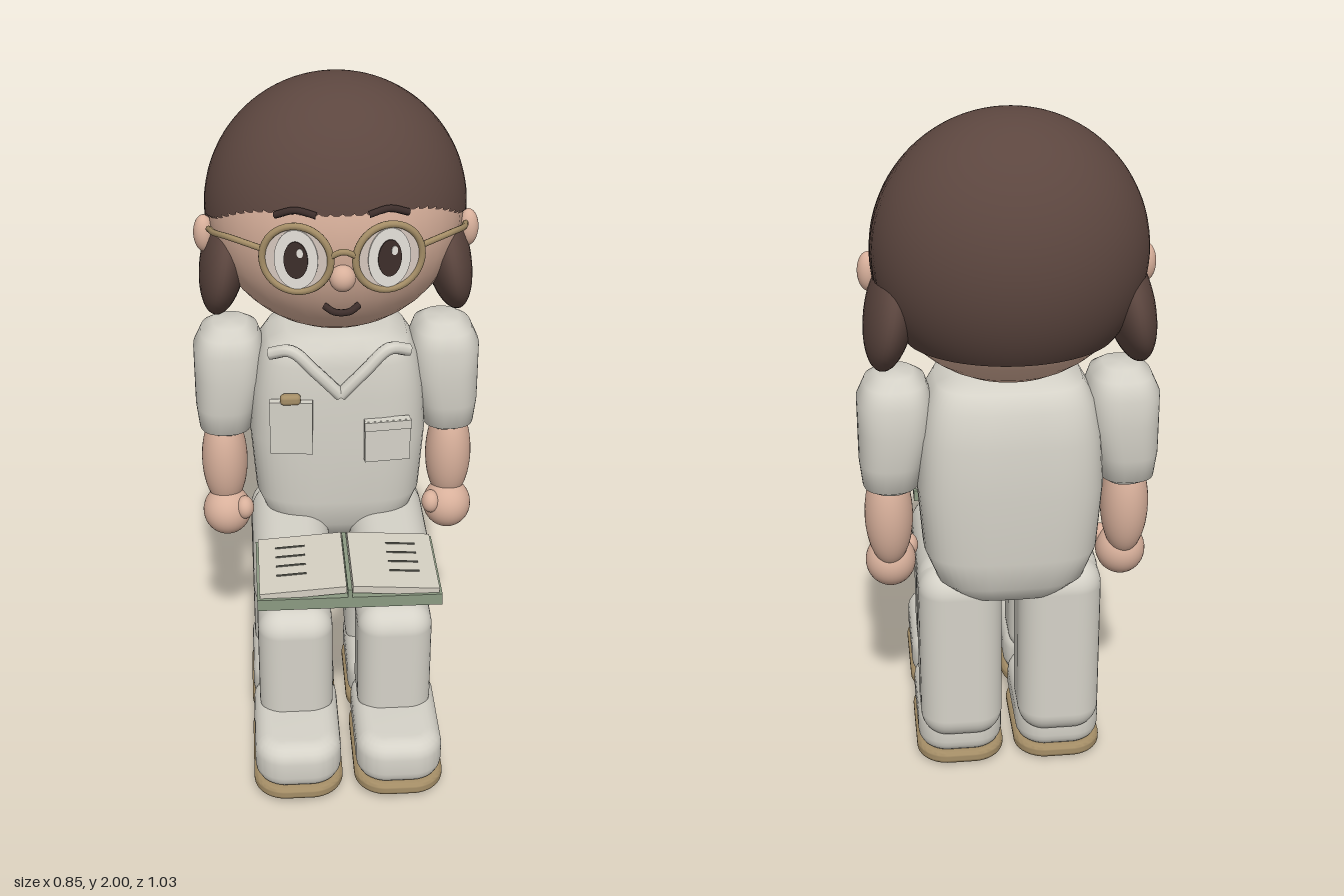
import * as THREE from 'three';
import { toCreasedNormals } from 'three/addons/utils/BufferGeometryUtils.js';
import { RoundedBoxGeometry } from 'three/addons/geometries/RoundedBoxGeometry.js';

const mat = (name, color) => {
  const m = new THREE.MeshStandardMaterial({ color });
  m.name = name;
  return m;
};

export function createModel() {
  const cloth = mat('offWhiteCloth', 0xd5d2c8);
  const skin = mat('skin', 0xd8b09b);
  const hairMat = mat('brownHair', 0x5c463f);
  const tan = mat('tan', 0xa48d66);
  const green = mat('bookGreen', 0x8b9a82);
  const page = mat('page', 0xd6d1c3);
  const lensMat = mat('lens', 0xd6c8be);
  const white = mat('eyeWhite', 0xe9e5de);
  const dark = mat('darkBrown', 0x3d2e2b);
  const ink = mat('ink', 0x77776c);
  const root = new THREE.Group();

  const add = (name, geo, material, x = 0, y = 0, z = 0, parent = root) => {
    const m = new THREE.Mesh(geo, material);
    m.name = name;
    m.position.set(x, y, z);
    parent.add(m);
    return m;
  };
  const ball = (rx, ry, rz) => new THREE.SphereGeometry(1, 36, 24).scale(rx, ry, rz);
  const box = (w, h, d) => new THREE.BoxGeometry(w, h, d);
  const puffy = (w, h, d, r) => new RoundedBoxGeometry(w, h, d, 5, r);
  const tube = (pts, r) => new THREE.TubeGeometry(
    new THREE.CatmullRomCurve3(pts.map(p => new THREE.Vector3(...p))), 24, r, 8);

  // Squarish cross-sections [y, halfWidth, zFront, zBack, xCentre] stacked upwards
  const loft = (sections, power = 3.5, n = 48) => {
    const pos = [], idx = [];
    const bend = v => Math.sign(v) * Math.abs(v) ** (2 / power);
    for (const [y, w, f, b, cx = 0] of sections)
      for (let j = 0; j < n; j++) {
        const t = j / n * Math.PI * 2;
        pos.push(cx + w * bend(Math.cos(t)), y, (f + b) / 2 + (f - b) / 2 * bend(Math.sin(t)));
      }
    const last = sections.length - 1, bottom = pos.length / 3, top = bottom + 1;
    for (const [y, , f, b, cx = 0] of [sections[0], sections[last]]) pos.push(cx, y, (f + b) / 2);
    for (let j = 0; j < n; j++) {
      const k = (j + 1) % n;
      for (let i = 0; i < last; i++) {
        const a = i * n + j, b = i * n + k;
        idx.push(a, a + n, b, b, a + n, b + n);
      }
      idx.push(k, bottom, j, last * n + j, top, last * n + k);
    }
    const g = new THREE.BufferGeometry();
    g.setAttribute('position', new THREE.Float32BufferAttribute(pos, 3));
    g.setIndex(idx);
    g.computeVertexNormals();
    return g;
  };

  // Lying slab with rounded corners and a rounded rim
  const slab = (w, h, d, r, b) => {
    const s = new THREE.Shape(), x = w / 2 - b, y = d / 2 - b, q = r - b;
    s.moveTo(q - x, -y);
    s.absarc(x - q, q - y, q, -Math.PI / 2, 0);
    s.absarc(x - q, y - q, q, 0, Math.PI / 2);
    s.absarc(q - x, y - q, q, Math.PI / 2, Math.PI);
    s.absarc(q - x, q - y, q, Math.PI, Math.PI * 1.5);
    const g = new THREE.ExtrudeGeometry(s, {
      depth: h - 2 * b, bevelSize: b, bevelThickness: b, bevelSegments: 5, curveSegments: 8 });
    g.translate(0, 0, b - h / 2).rotateX(-Math.PI / 2);
    return toCreasedNormals(g, 0.7);
  };

  // Head and hair cap, the cap's lower edge high in front and low behind
  add('head', ball(0.366, 0.362, 0.32), skin, 0, 1.622, -0.19);
  const R = new THREE.Vector3(0.375, 0.375, 0.327);
  const cap = new THREE.SphereGeometry(1, 72, 36);
  const p = cap.attributes.position, uv = cap.attributes.uv, nor = cap.attributes.normal;
  const v = new THREE.Vector3();
  for (let i = 0; i < p.count; i++) {
    const phi = uv.getX(i) * Math.PI * 2, f = Math.sin(phi), t = 1 - uv.getY(i);
    const edge = f > 0.2
      ? 1.61 + 0.09 * THREE.MathUtils.smoothstep(f, 0.2, 0.92)
      : 1.37 + 0.24 * THREE.MathUtils.smoothstep(f, -0.35, 0.2);
    const th = t * Math.acos((edge - 1.625) / R.y);
    v.set(-Math.cos(phi) * Math.sin(th), Math.cos(th), f * Math.sin(th));
    const n = v.clone().divide(R).normalize();
    nor.setXYZ(i, n.x, n.y, n.z);
    v.multiply(R).multiplyScalar(t > 0.99 ? 0.95 : 1);
    p.setXYZ(i, v.x, v.y, v.z);
  }
  add('hairCap', cap, hairMat, 0, 1.625, -0.19);

  // Face
  add('nose', ball(0.036, 0.038, 0.035), skin, 0, 1.53, 0.128);
  add('mouth', tube([[-0.048, 1.432, 0.09], [-0.02, 1.42, 0.107], [0.02, 1.42, 0.107], [0.048, 1.432, 0.09]], 0.01), dark);
  add('glassesBridge', tube([[-0.035, 1.605, 0.155], [0, 1.622, 0.165], [0.035, 1.605, 0.155]], 0.009), tan);

  // Torso
  add('torso', loft([
    [0.57, 0.06, -0.1, -0.22], [0.6, 0.15, -0.03, -0.3], [0.66, 0.215, 0.01, -0.345],
    [0.75, 0.25, 0.03, -0.36], [0.95, 0.265, 0.03, -0.365], [1.1, 0.255, 0.03, -0.36],
    [1.2, 0.235, 0.02, -0.34], [1.25, 0.205, 0.01, -0.31], [1.275, 0.15, -0.02, -0.27]]), cloth);

  for (const s of [1, -1]) {
    const side = s > 0 ? 'left' : 'right';

    // Side hair and ear
    add(side + 'SideHair', ball(0.068, 0.168, 0.188), hairMat, s * 0.325, 1.468, -0.195).rotation.z = s * 0.2;
    add(side + 'Ear', ball(0.03, 0.055, 0.032), skin, s * 0.378, 1.56, -0.147);

    // Eye behind its round lens, turned slightly outward
    const eye = new THREE.Group();
    eye.name = side + 'EyeAndRim';
    eye.position.set(s * 0.125, 1.592, 0.135);
    eye.rotation.y = s * 0.22;
    root.add(eye);
    add('rim', new THREE.TorusGeometry(0.094, 0.01, 10, 40), tan, 0, 0, 0, eye);
    const disc = (name, rx, ry, material, x, y, z) =>
      add(name, new THREE.CylinderGeometry(1, 1, 0.004, 36).rotateX(Math.PI / 2).scale(rx, ry, 1), material, x, y, z, eye);
    disc('lens', 0.09, 0.09, lensMat, 0, 0, 0);
    disc('eyeWhite', 0.06, 0.085, white, 0, 0, 0.004);
    disc('pupil', 0.033, 0.053, dark, 0, 0, 0.008);
    disc('highlight', 0.009, 0.013, white, 0.012, 0.022, 0.011);
    add(side + 'Temple', tube([[s * 0.215, 1.615, 0.112], [s * 0.3, 1.63, 0.065],
      [s * 0.345, 1.615, -0.01], [s * 0.362, 1.595, -0.09]], 0.009), tan);
    add(side + 'Eyebrow', tube([[s * 0.07, 1.71, 0.125], [s * 0.125, 1.722, 0.113], [s * 0.18, 1.703, 0.093]], 0.01), dark);

    // Folded collar
    add(side + 'Collar', tube([[s * 0.2, 1.245, 0], [s * 0.14, 1.262, 0.025],
      [s * 0.07, 1.2, 0.04], [0, 1.125, 0.04]], 0.019), cloth);

    // Arm
    add(side + 'Sleeve', loft([
      [0.92, 0.05, -0.1, -0.23, s * 0.335], [0.945, 0.08, -0.06, -0.27, s * 0.337],
      [1.02, 0.092, -0.045, -0.288, s * 0.333], [1.12, 0.105, -0.04, -0.295, s * 0.32],
      [1.2, 0.105, -0.045, -0.29, s * 0.32], [1.25, 0.085, -0.06, -0.27, s * 0.317],
      [1.275, 0.05, -0.1, -0.23, s * 0.315]], 2.7), cloth);
    add(side + 'Forearm', ball(0.07, 0.165, 0.08), skin, s * 0.345, 0.82, -0.145);
    add(side + 'Hand', ball(0.074, 0.078, 0.076), skin, s * 0.343, 0.652, -0.115);
    add(side + 'Thumb', ball(0.028, 0.036, 0.034), skin, s * 0.288, 0.678, -0.08);

    // Seated thigh and shin, plus the straight leg behind
    add(side + 'Thigh', puffy(0.235, 0.225, 0.5, 0.085), cloth, s * 0.15, 0.587, 0.005);
    add(side + 'Shin', puffy(0.222, 0.4, 0.235, 0.07), cloth, s * 0.148, 0.335, 0.208);
    add(side + 'RearLeg', puffy(0.245, 0.58, 0.255, 0.08), cloth, s * 0.147, 0.39, -0.167);

    // Shoes with tan soles
    for (const [name, y, z, len] of [['Front', 0.015, 0.305, 0.42], ['Rear', 0, -0.07, 0.395]]) {
      const shoe = new THREE.Group();
      shoe.name = side + name + 'Shoe';
      shoe.position.set(s * 0.15, y, z);
      root.add(shoe);
      add('upper', slab(0.255, 0.15, len - 0.01, 0.09, 0.05), cloth, 0, 0.11, 0, shoe);
      add('sole', slab(0.265, 0.042, len, 0.095, 0.015), tan, 0, 0.027, 0, shoe);
      add('solePad', slab(0.205, 0.012, len - 0.06, 0.07, 0.004), cloth, 0, 0.007, 0, shoe);
    }

    // Open book half: sloping pages with ruled lines
    const leaf = new THREE.Group();
    leaf.name = side + 'Page';
    leaf.position.set(s * 0.129, 0.732, 0.328);
    leaf.rotation.z = -s * 0.07;
    root.add(leaf);
    add('paper', box(0.242, 0.022, 0.275), page, 0, 0, 0, leaf);
    for (let i = 0; i < 4; i++)
      add('textLine', box(0.085, 0.004, 0.005), ink, s * 0.03, 0.012, -0.082 + i * 0.046, leaf);
  }
  add('bookCover', box(0.515, 0.035, 0.292), green, 0, 0.703, 0.328);
  add('bookSpine', box(0.012, 0.03, 0.292), green, 0, 0.73, 0.328);

  // Chest badge with clip, and a pocket with flap
  const badge = add('chestBadge', box(0.125, 0.17, 0.024), cloth, -0.143, 1.02, 0.032);
  badge.rotation.y = -0.1;
  add('badgeClip', puffy(0.06, 0.032, 0.03, 0.012), tan, -0.145, 1.113, 0.036);
  const pocket = add('chestPocket', box(0.135, 0.135, 0.024), cloth, 0.138, 0.97, 0.032);
  pocket.rotation.y = 0.1;
  add('pocketFlap', box(0.14, 0.028, 0.01), cloth, 0, 0.053, 0.014, pocket);

  return root;
}
